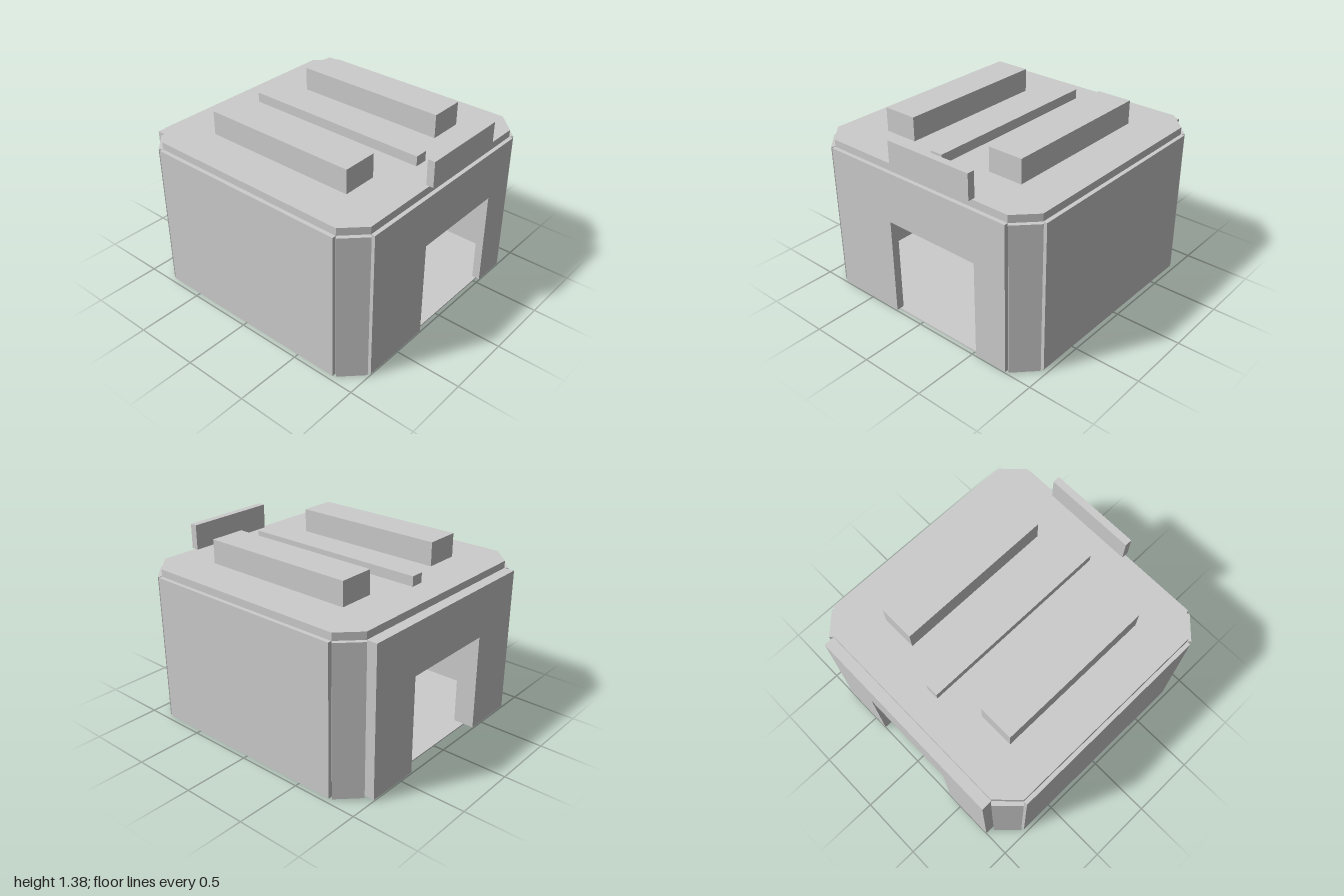
import * as THREE from 'three';

export function createModel() {
  const model = new THREE.Group();
  model.name = 'building';
  const plainGrey = new THREE.MeshStandardMaterial({ color: 0xcccccc });
  plainGrey.name = 'plainGrey';

  const add = (name, geometry) => {
    const mesh = new THREE.Mesh(geometry, plainGrey);
    mesh.name = name;
    model.add(mesh);
    return mesh;
  };
  // Box given by its limits on each axis
  const box = (name, x0, x1, y0, y1, z0, z1) => {
    const mesh = add(name, new THREE.BoxGeometry(x1 - x0, y1 - y0, z1 - z0));
    mesh.position.set((x0 + x1) / 2, (y0 + y1) / 2, (z0 + z1) / 2);
    return mesh;
  };

  // Footprint with chamfered corners, as [x, z]
  const W = 0.942, w = 0.793, FRONT = 0.97, BACK = -0.92, CUT = 0.15;
  const footprint = [
    [w, FRONT], [W, FRONT - CUT], [W, BACK + CUT], [w, BACK],
    [-w, BACK], [-W, BACK + CUT], [-W, FRONT - CUT], [-w, FRONT],
  ];
  const slab = (name, y0, y1) => {
    const shape = new THREE.Shape(footprint.map(([x, z]) => new THREE.Vector2(x, -z)));
    const geometry = new THREE.ExtrudeGeometry(shape, { depth: y1 - y0, bevelEnabled: false });
    geometry.rotateX(-Math.PI / 2);
    add(name, geometry).position.y = y0;
  };
  const BASE = 0.01, TOP = 1.135, ROOF = 1.19, THICK = 0.06;
  slab('floor', 0, BASE);
  slab('roof', TOP, ROOF);

  // Front and back walls with doorways open to the floor
  const doorWall = (name, left, right, z0, z1) => {
    const outline = [
      [-w, BASE], [left, BASE], [left, 0.75], [right, 0.75],
      [right, BASE], [w, BASE], [w, TOP], [-w, TOP],
    ];
    const shape = new THREE.Shape(outline.map(([x, y]) => new THREE.Vector2(x, y)));
    const geometry = new THREE.ExtrudeGeometry(shape, { depth: z1 - z0, bevelEnabled: false });
    add(name, geometry).position.z = z0;
  };
  doorWall('frontWall', -0.235, 0.535, 0.94, 1);
  doorWall('backWall', -0.38, 0.385, -1, -0.84);

  // Side walls and the diagonal corner walls, centred on the footprint edges
  for (const i of [0, 1, 2, 4, 5, 6]) {
    const [ax, az] = footprint[i], [bx, bz] = footprint[i + 1];
    const length = Math.hypot(bx - ax, bz - az);
    const name = i % 4 === 1 ? 'sideWall' : 'cornerWall';
    const wall = add(name, new THREE.BoxGeometry(length, TOP - BASE, THICK));
    wall.position.set((ax + bx) / 2, (BASE + TOP) / 2, (az + bz) / 2);
    wall.rotation.y = Math.atan2(az - bz, bx - ax);
  }

  // Rooftop blocks and sign board
  box('roofBlockRight', -0.618, -0.349, ROOF, 1.37, -0.58, 0.63);
  box('roofBlockLeft', 0.343, 0.614, ROOF, 1.37, -0.58, 0.63);
  box('roofRidge', -0.053, 0.047, ROOF, 1.265, -0.71, 0.762);
  box('signBoard', -0.2, 0.505, ROOF, 1.38, 0.945, 1);

  return model;
}
